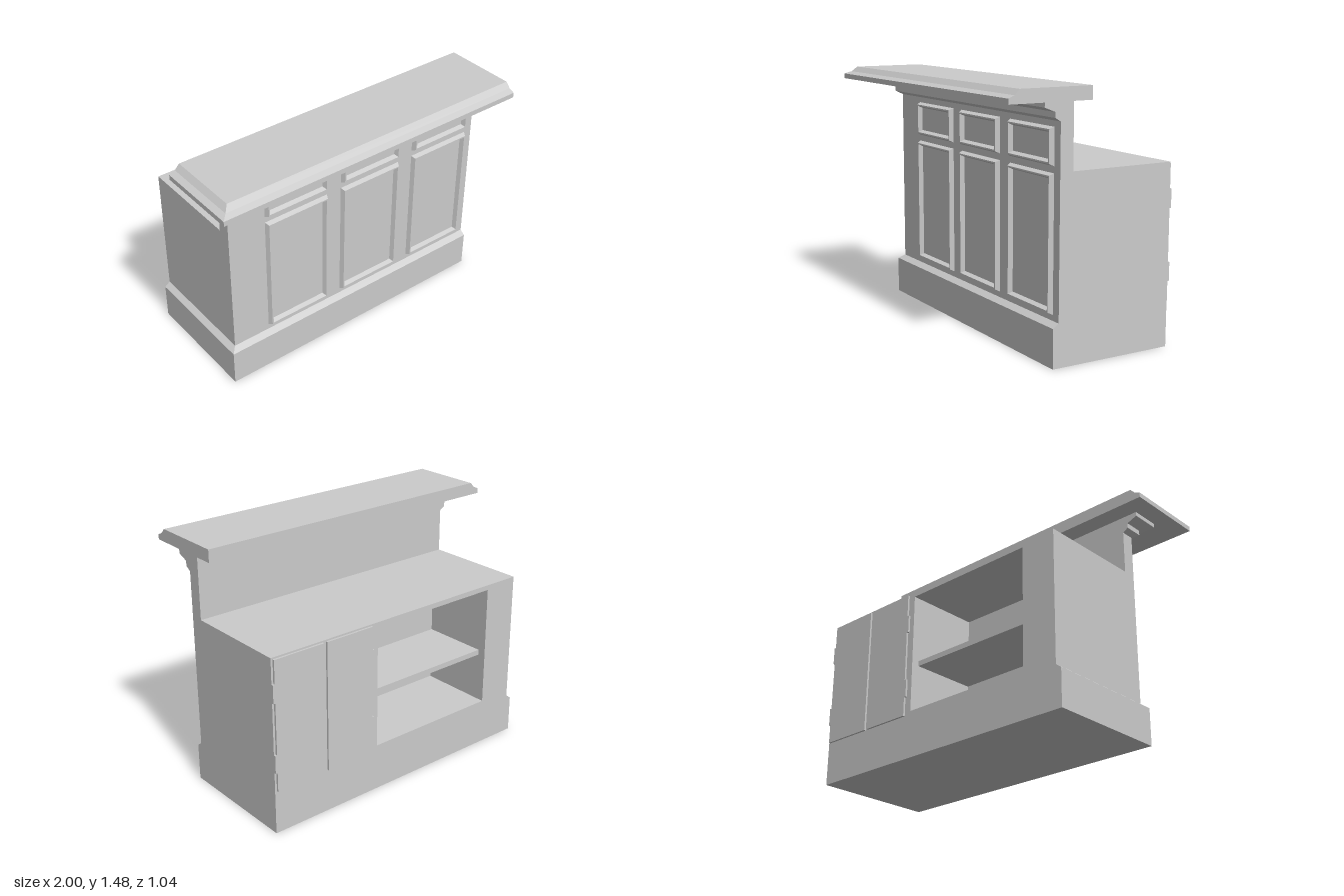
import * as THREE from 'three';

const material = new THREE.MeshStandardMaterial({ color: 0xcccccc, flatShading: true });
const RIGHT = 1, LEFT = -0.79, FRONT = 0.21, BACK = -0.51;

function addMesh(parent, name, geometry) {
  const mesh = new THREE.Mesh(geometry, material);
  mesh.name = name;
  parent.add(mesh);
  return mesh;
}

// Box given by its limits on each axis
function addBox(parent, name, [x0, x1], [y0, y1], [z0, z1]) {
  const mesh = addMesh(parent, name, new THREE.BoxGeometry(x1 - x0, y1 - y0, z1 - z0));
  mesh.position.set((x0 + x1) / 2, (y0 + y1) / 2, (z0 + z1) / 2);
  return mesh;
}

function facetedGeometry(points, index) {
  const geometry = new THREE.BufferGeometry().setFromPoints(points);
  geometry.setIndex(index);
  const flat = geometry.toNonIndexed();
  flat.computeVertexNormals();
  return flat;
}

// Moulding along the front and round the left corner, mitred there.
// profile: counter-clockwise [outward, height] pairs
function mouldingGeometry(profile, x, z, zEnd) {
  const n = profile.length, index = [];
  const stations = [
    ([o, y]) => new THREE.Vector3(RIGHT, y, z + o),
    ([o, y]) => new THREE.Vector3(x - o, y, z + o),
    ([o, y]) => new THREE.Vector3(x - o, y, zEnd),
  ];
  const points = stations.flatMap((place) => profile.map(place));
  for (let s = 0; s < 2; s++) {
    for (let i = 0; i < n; i++) {
      const a = s * n + i, b = s * n + (i + 1) % n;
      index.push(a, b, b + n, a, b + n, a + n);
    }
  }
  const caps = THREE.ShapeUtils.triangulateShape(profile.map(([o, y]) => new THREE.Vector2(o, y)), []);
  for (const [a, b, c] of caps) index.push(c, b, a, a + 2 * n, b + 2 * n, c + 2 * n);
  return facetedGeometry(points, index);
}

// Raised rectangular trim with bevelled, mitred edges
function trimGeometry(x0, x1, y0, y1) {
  const section = [[0, 0], [0.012, 0.025], [0.02, 0.025], [0.032, 0]]; // inset, height
  const points = [], index = [];
  for (const [d, h] of section) {
    for (const [x, y] of [[x0 + d, y0 + d], [x1 - d, y0 + d], [x1 - d, y1 - d], [x0 + d, y1 - d]]) {
      points.push(new THREE.Vector3(x, y, FRONT + h));
    }
  }
  for (let k = 0; k < section.length - 1; k++) {
    for (let c = 0; c < 4; c++) {
      const a = k * 4 + c, b = k * 4 + (c + 1) % 4;
      index.push(a, b, b + 4, a, b + 4, a + 4);
    }
  }
  return facetedGeometry(points, index);
}

function rectangle(PathType, x0, x1, y0, y1) {
  return new PathType([[x0, y0], [x1, y0], [x1, y1], [x0, y1]].map(([x, y]) => new THREE.Vector2(x, y)));
}

export function createModel() {
  const bar = new THREE.Group();
  bar.name = 'barCounter';

  // Cabinet with an open shelf bay in the back
  const bay = { x0: -0.57, x1: 0.285, y0: 0.28, y1: 1.01, depth: 0.46 };
  const bayEnd = BACK + bay.depth;
  const outline = rectangle(THREE.Shape, LEFT, RIGHT, 0, 1.04);
  outline.holes.push(rectangle(THREE.Path, bay.x0, bay.x1, bay.y0, bay.y1));
  const cabinet = new THREE.ExtrudeGeometry(outline, { depth: bay.depth, bevelEnabled: false });
  addMesh(bar, 'cabinet', cabinet.translate(0, 0, BACK));
  addBox(bar, 'cabinetCore', [LEFT, RIGHT], [0, 1.04], [bayEnd, 0.13]);
  addBox(bar, 'shelf', [bay.x0, bay.x1], [0.575, 0.607], [BACK + 0.05, bayEnd]);

  // Front wall that carries the bar top
  addBox(bar, 'frontWall', [LEFT, RIGHT], [0, 1.4], [0.13, FRONT]);

  // Skirting and cornice
  addMesh(bar, 'skirting', mouldingGeometry(
    [[0, 0], [0.034, 0], [0.034, 0.22], [0, 0.245]], LEFT, FRONT, BACK));
  addMesh(bar, 'cornice', mouldingGeometry(
    [[0, 1.3], [0.034, 1.32], [0.034, 1.35], [0.098, 1.375], [0.098, 1.4], [0, 1.4]], LEFT, FRONT, 0.13));

  // Bar top with shaped front and left edges
  addBox(bar, 'barTop', [-0.937, RIGHT], [1.4, 1.475], [0.015, 0.457]);
  addMesh(bar, 'barTopEdge', mouldingGeometry(
    [[0, 1.4], [0.063, 1.4], [0.063, 1.43], [0.028, 1.445], [0, 1.475]], -0.937, 0.457, 0.015));

  // Panel trims: a small one above a tall one in each bay
  for (const x of [-0.55, -0.02, 0.515]) {
    addMesh(bar, 'upperPanelTrim', trimGeometry(x, x + 0.43, 1.065, 1.268));
    addMesh(bar, 'lowerPanelTrim', trimGeometry(x, x + 0.43, 0.278, 1.028));
  }

  // Back doors, each with two hinges on its outer edge
  for (const [x0, x1, hingeX] of [[0.33, 0.645, 0.318], [0.665, 0.988, 0.988]]) {
    addBox(bar, 'door', [x0, x1], [0.26, 1.03], [BACK - 0.012, BACK]);
    for (const y of [0.375, 0.785]) {
      addBox(bar, 'hinge', [hingeX, hingeX + 0.012], [y, y + 0.107], [BACK - 0.012, BACK]);
    }
  }

  return bar;
}
